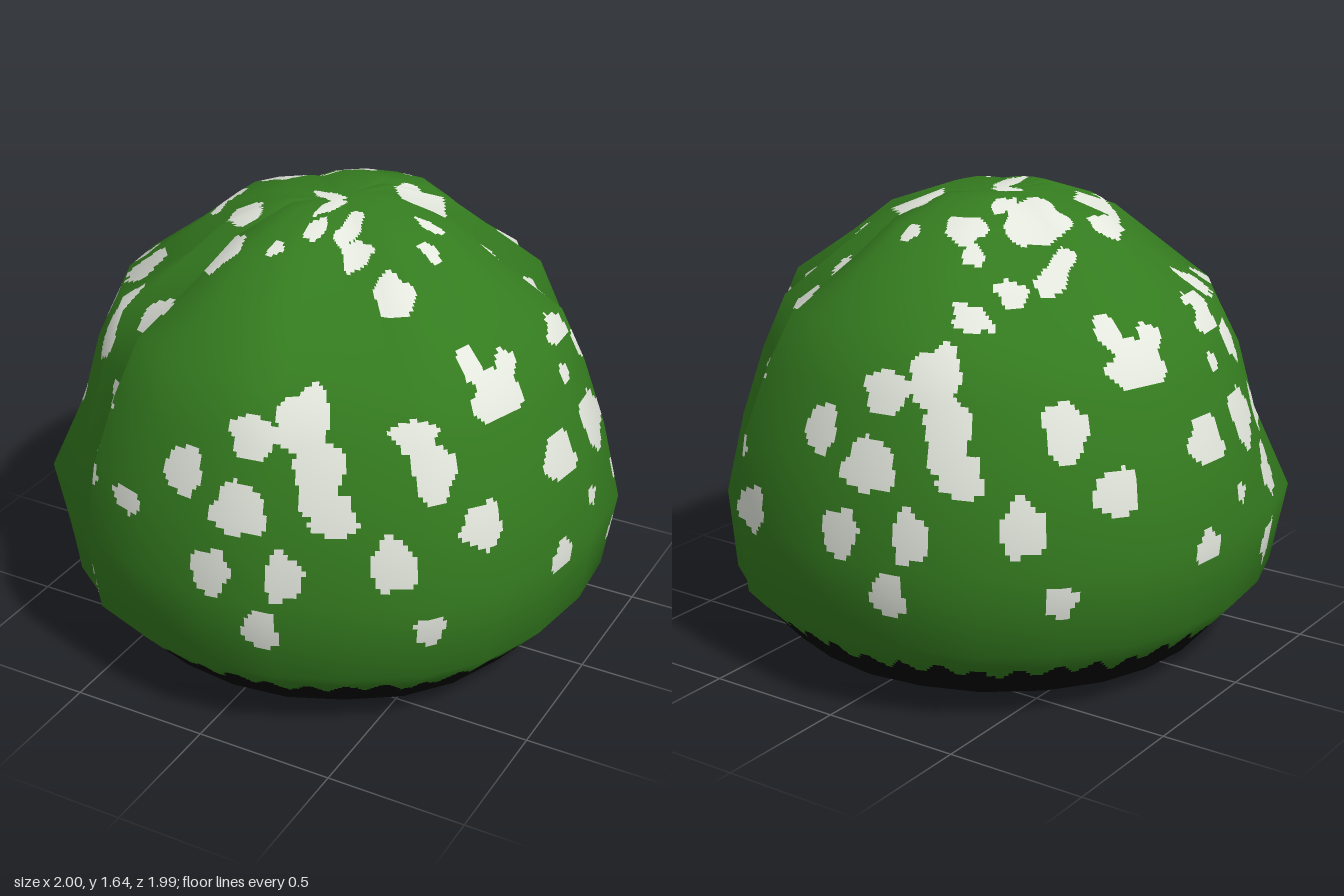
import * as THREE from 'three';

const DEG = Math.PI / 180;
const lerp = THREE.MathUtils.lerp;

// Side profile, bottom centre to apex: [radius, height, outline strength, crown fold strength, waist dent strength]
const PROFILE = [
  [0, 0, 0, 0, 0], [0.48, 0, 0.2, 0, 0], [0.78, 0.065, 0.3, 0, 0], [0.97, 0.28, 0.5, 0, 0],
  [1, 0.57, 1, 0, 0], [0.96, 0.86, 1, 0, 1], [0.87, 1.1, 1, 0.06, 0.6], [0.785, 1.285, 1, 0.3, 0.2],
  [0.59, 1.445, 0.4, 1, 0], [0.435, 1.565, 0.3, 1.1, 0], [0.21, 1.64, 0, 1.1, 0], [0, 1.625, 0, 0, 0],
];

// Lumpy outline: [angle from the front towards +x, radius factor, crown factor]; low factors are folds
const OUTLINE = [
  [0, 0.99, 1.02], [15, 0.99, 0.98], [30, 0.97, 0.79], [45, 1.02, 0.91], [59, 1.02, 0.98], [74, 1, 0.94],
  [90, 1, 0.93], [105, 1.03, 0.94], [120, 0.945, 0.78], [135, 0.99, 0.96], [144, 0.966, 0.76], [150, 1.01, 0.92],
  [165, 0.98, 1.02], [180, 1, 1], [195, 1, 0.98], [210, 1.025, 0.91], [226, 1.025, 0.78], [241, 1.03, 0.91],
  [255, 1.01, 0.95], [270, 1, 0.93], [285, 1.01, 0.93], [299, 1.05, 0.79], [314, 1, 0.96], [324, 0.966, 0.76],
  [330, 1.02, 0.94], [345, 0.995, 1.01],
];

// Side spots [angle, height, width, height of spot]; these repeat on the opposite side
const SIDE_SPOTS = [
  [-34, 1.05, 0.13, 0.09], [-33, 0.83, 0.13, 0.13], [-5.5, 0.97, 0.14, 0.15],
  [9.5, 1.12, 0.16, 0.13], [8, 0.89, 0.19, 0.16], [20.5, 1.17, 0.16, 0.2], [24, 1.02, 0.15, 0.24],
  [27.5, 0.89, 0.14, 0.14], [2.5, 0.66, 0.13, 0.16], [17.6, 0.68, 0.12, 0.17], [13, 0.47, 0.12, 0.15],
  [46, 0.48, 0.1, 0.11], [39, 0.73, 0.14, 0.18], [57, 0.82, 0.15, 0.15], [48, 1.02, 0.14, 0.18],
  [67, 1.19, 0.22, 0.14], [62, 1.29, 0.08, 0.1], [73, 1.26, 0.09, 0.08],
  [98, 1.25, 0.14, 0.09], [108, 1.15, 0.14, 0.13], [93, 1.13, 0.06, 0.06], [81.5, 0.91, 0.18, 0.15],
  [99, 0.92, 0.17, 0.19], [115.5, 0.88, 0.13, 0.14], [108, 0.69, 0.12, 0.17], [92, 0.69, 0.06, 0.06],
  [79, 0.56, 0.13, 0.11], [107, 0.43, 0.11, 0.15],
];
const SINGLE_SPOTS = [
  [45, 1.13, 0.14, 0.1], [130, 0.75, 0.14, 0.17], [155, 0.62, 0.15, 0.14], [-34, 0.35, 0.12, 0.11],
  [-51, 1.2, 0.14, 0.24], [-19, 0.8, 0.14, 0.08],
];

// Crown spots [x, z, width, depth], laid out from above
const CROWN_SPOTS = [
  [-0.32, -0.62, 0.14, 0.09], [-0.36, -0.45, 0.1, 0.11], [-0.2, -0.44, 0.07, 0.07], [-0.12, -0.37, 0.14, 0.13],
  [-0.43, -0.3, 0.09, 0.18], [-0.27, -0.17, 0.21, 0.21], [-0.14, -0.18, 0.06, 0.12], [-0.42, 0.04, 0.09, 0.17],
  [-0.27, 0.2, 0.15, 0.14], [-0.22, 0.4, 0.13, 0.13], [-0.63, 0.27, 0.13, 0.16], [-0.4, 0.56, 0.14, 0.13],
  [0.03, 0.11, 0.06, 0.18], [-0.02, 0.02, 0.12, 0.06], [0.15, 0.2, 0.07, 0.15], [0.22, 0.28, 0.1, 0.09],
  [0.06, 0.27, 0.06, 0.11], [-0.02, 0.4, 0.05, 0.07], [0.35, 0, 0.1, 0.05], [0.41, 0.12, 0.08, 0.06],
  [0.21, -0.2, 0.18, 0.16], [0.05, -0.45, 0.06, 0.06], [0.33, -0.45, 0.1, 0.09], [0.41, -0.6, 0.14, 0.15],
  [0.45, -0.22, 0.13, 0.14], [0.62, -0.32, 0.12, 0.12], [0.39, 0.34, 0.13, 0.12], [-0.72, 0.12, 0.06, 0.13],
];

const sides = SIDE_SPOTS.concat(SIDE_SPOTS.map(([a, ...rest]) => [a + 180, ...rest]), SINGLE_SPOTS);

// Irregular blob test in a spot's own coordinates
function inBlob(u, v, w, h, seed) {
  const a = u / (w / 2), b = v / (h / 2);
  const d = Math.hypot(a, b);
  if (d > 1.4) return false;
  const t = Math.atan2(b, a);
  return d < 1.05 + 0.1 * Math.sin(3 * t + seed * 2.3) + 0.08 * Math.sin(5 * t + seed * 4.1);
}

function isSpot(x, y, z) {
  const r = Math.hypot(x, z), angle = Math.atan2(x, z);
  if (y > 1.25 && CROWN_SPOTS.some(([cx, cz, w, d], i) => inBlob(x - cx, z - cz, w, d, i))) return true;
  return y < 1.38 && sides.some(([a, cy, w, h], i) => {
    const turn = angle - a * DEG;
    return inBlob(Math.atan2(Math.sin(turn), Math.cos(turn)) * r, y - cy, w, h, i % SIDE_SPOTS.length);
  });
}

// Ragged upper edge of the dark base, with one taller peak at the front right
function baseEdge(angle) {
  const peak = 0.06 * Math.exp(-(((angle + 34 * DEG) / 0.05) ** 2));
  return 0.16 + 0.045 * Math.pow(Math.sin(angle * 21), 2) + 0.008 * Math.sin(angle * 13) + peak;
}

// Hollows at mid height on two opposite sides
function waistDent(deg) {
  return -0.07 * (Math.exp(-(((deg - 120) / 16) ** 2)) + 1.4 * Math.exp(-(((deg - 302) / 16) ** 2)));
}

// Coarse control cage with smooth normals
function makeCage() {
  const n = OUTLINE.length, pos = [], index = [];
  for (const [r, y, outline, crown, dent] of PROFILE) for (const [deg, factor, fold] of OUTLINE) {
    const a = deg * DEG;
    const s = r * (1 + (factor - 1) * outline + (fold - 1) * crown + waistDent(deg) * dent);
    pos.push(Math.sin(a) * s, y, Math.cos(a) * s);
  }
  for (let j = 0; j < PROFILE.length - 1; j++) for (let i = 0; i < n; i++) {
    const a = j * n + i, b = j * n + (i + 1) % n;
    index.push(a, b, b + n, a, b + n, a + n);
  }
  const cage = new THREE.BufferGeometry();
  cage.setAttribute('position', new THREE.Float32BufferAttribute(pos, 3));
  cage.setIndex(index);
  cage.computeVertexNormals();
  // The end rings collapse to a point, so they share one vertical normal
  for (let i = 0; i < n; i++) {
    cage.attributes.normal.setXYZ(i, 0, -1, 0);
    cage.attributes.normal.setXYZ((PROFILE.length - 1) * n + i, 0, 1, 0);
  }
  return cage;
}

// Subdivide the cage finely and sort its cells into body, spots and base
function makeSkin() {
  const cage = makeCage(), n = OUTLINE.length, SUB = 17, ROWS = 15;
  const cols = n * SUB, pos = [], nor = [], rows = [];
  for (let j = 0; j < PROFILE.length - 1; j++) {
    const steps = j < 2 ? 1 : ROWS;
    for (let k = 0; k < steps; k++) rows.push([j, k / steps]);
  }
  rows.push([PROFILE.length - 2, 1]);
  const sample = (attr, i, j, s, t) => [0, 1, 2].map((c) => {
    const at = (ii, jj) => attr.array[(jj * n + (ii % n)) * 3 + c];
    return lerp(lerp(at(i, j), at(i + 1, j), s), lerp(at(i, j + 1), at(i + 1, j + 1), s), t);
  });
  for (const [j, t] of rows) for (let q = 0; q < cols; q++) {
    const i = Math.floor(q / SUB), s = (q % SUB) / SUB;
    pos.push(...sample(cage.attributes.position, i, j, s, t));
    const v = new THREE.Vector3(...sample(cage.attributes.normal, i, j, s, t)).normalize();
    nor.push(v.x, v.y, v.z);
  }
  const cells = { body: [], spots: [], base: [] };
  for (let j = 0; j < rows.length - 1; j++) for (let q = 0; q < cols; q++) {
    const a = j * cols + q, b = j * cols + (q + 1) % cols, c = b + cols, d = a + cols;
    const [x, y, z] = [0, 1, 2].map((k) => (pos[a * 3 + k] + pos[b * 3 + k] + pos[c * 3 + k] + pos[d * 3 + k]) / 4);
    const kind = y < baseEdge(Math.atan2(x, z)) ? 'base' : isSpot(x, y, z) ? 'spots' : 'body';
    cells[kind].push(a, b, c, a, c, d);
  }
  return {
    cells,
    position: new THREE.Float32BufferAttribute(pos, 3),
    normal: new THREE.Float32BufferAttribute(nor, 3),
  };
}

export function createModel() {
  const group = new THREE.Group();
  group.name = 'spottedDome';
  const colours = { body: ['leafGreen', 0x347b1f], spots: ['paleWhite', 0xe3e7dd], base: ['black', 0x020202] };
  const skin = makeSkin();
  for (const [part, [name, color]] of Object.entries(colours)) {
    const material = new THREE.MeshStandardMaterial({ color });
    material.name = name;
    const geometry = new THREE.BufferGeometry();
    geometry.setAttribute('position', skin.position);
    geometry.setAttribute('normal', skin.normal);
    geometry.setIndex(skin.cells[part]);
    const mesh = new THREE.Mesh(geometry, material);
    mesh.name = part;
    group.add(mesh);
  }
  return group;
}
